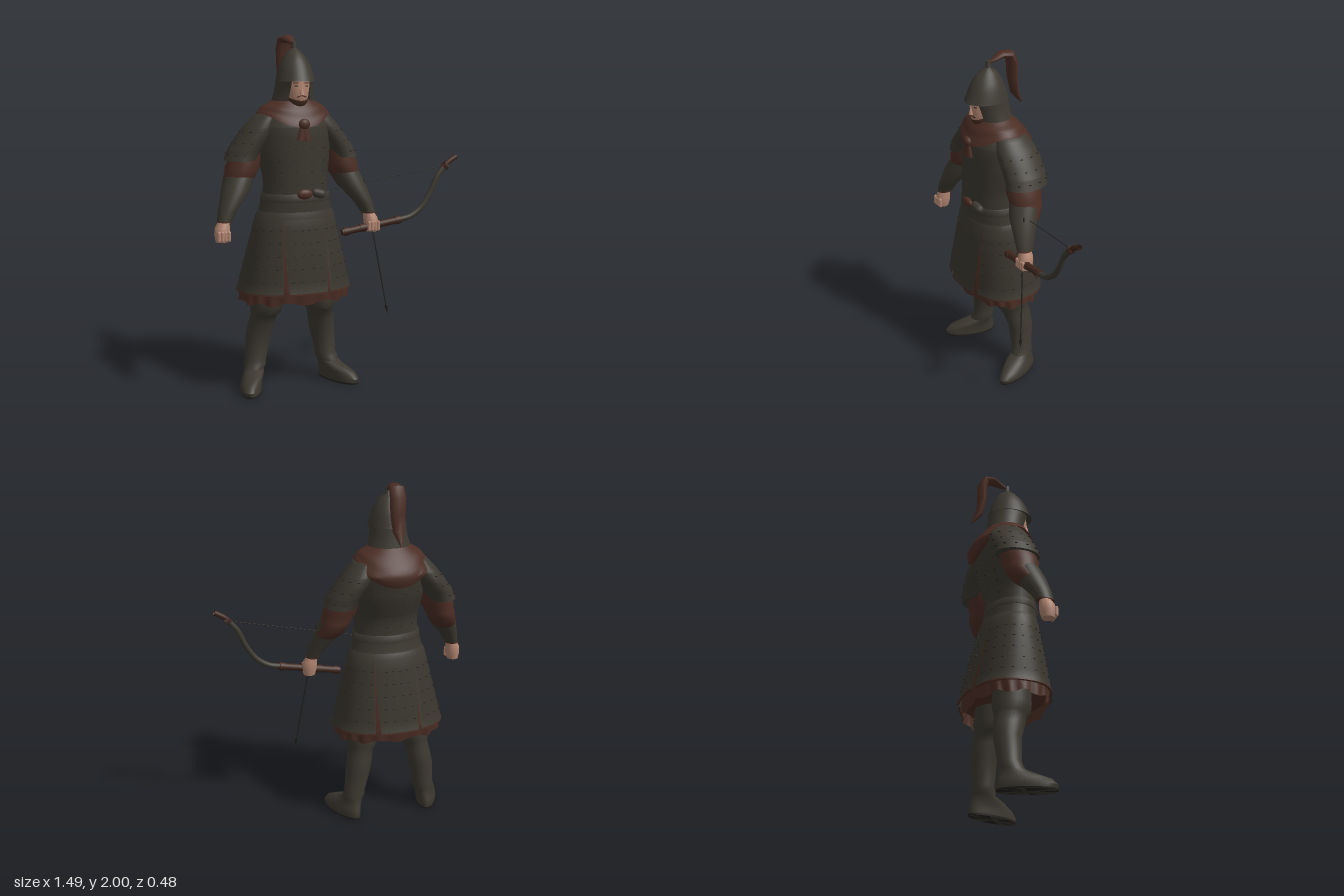
import * as THREE from 'three';
import { toCreasedNormals, mergeGeometries } from 'three/addons/utils/BufferGeometryUtils.js';

const CX = -0.255; // the figure stands left of centre, the bow reaches right
const V = (x, y, z) => new THREE.Vector3(x, y, z);
const mat = (name, color) => new THREE.MeshStandardMaterial({ name, color, side: THREE.DoubleSide });

// Cross-section tables: [y, offset from the body axis, centre z, half width, half depth, roundness], rising in y
const BODY = [
  [0.51, 0, 0, 0.318, 0.205, 0.85], [0.58, 0, 0, 0.318, 0.222, 0.85], [0.8, 0, 0.012, 0.268, 0.188, 0.92],
  [1.0, 0, 0.022, 0.222, 0.155, 1], [1.1, 0, 0.035, 0.195, 0.139, 1], [1.2, 0, 0.038, 0.184, 0.133, 1],
  [1.35, 0, 0.01, 0.21, 0.155, 1], [1.5, 0, -0.002, 0.208, 0.16, 1], [1.6, 0, 0, 0.15, 0.115, 1], [1.66, 0, 0, 0.07, 0.075, 1]];
const LEG = [
  [0, 0.252, 0.02, 0.06, 0.145], [0.03, 0.254, 0.02, 0.066, 0.151], [0.06, 0.25, 0.012, 0.063, 0.135],
  [0.09, 0.238, -0.015, 0.06, 0.1], [0.115, 0.23, -0.042, 0.058, 0.068], [0.14, 0.222, -0.048, 0.065, 0.067],
  [0.16, 0.218, -0.05, 0.06, 0.062], [0.3, 0.198, -0.055, 0.073, 0.075], [0.38, 0.182, -0.04, 0.074, 0.085],
  [0.43, 0.172, -0.026, 0.073, 0.09], [0.445, 0.166, -0.018, 0.084, 0.1], [0.5, 0.157, -0.016, 0.097, 0.107],
  [0.72, 0.14, 0, 0.09, 0.1]];
const SHOULDER = [
  [1.315, 0.304, -0.026, 0.086, 0.124], [1.35, 0.291, -0.028, 0.092, 0.127], [1.4, 0.256, -0.031, 0.09, 0.127],
  [1.48, 0.198, -0.03, 0.089, 0.124], [1.56, 0.15, -0.018, 0.066, 0.09], [1.585, 0.13, -0.01, 0.03, 0.04]];
const SLEEVE = [
  [1.12, 0.366, 0.035, 0.065, 0.07], [1.15, 0.35, 0.012, 0.076, 0.082], [1.2, 0.328, -0.01, 0.079, 0.09],
  [1.225, 0.317, -0.008, 0.087, 0.096], [1.245, 0.309, -0.006, 0.087, 0.096], [1.275, 0.297, -0.01, 0.097, 0.103],
  [1.36, 0.27, -0.02, 0.08, 0.1]];
const BRACER = [
  [0.99, 0.434, 0.076, 0.039, 0.048], [1.05, 0.41, 0.063, 0.051, 0.06], [1.15, 0.352, 0.03, 0.08, 0.083],
  [1.23, 0.318, -0.002, 0.083, 0.09]];
const HAND = [
  [0.882, 0.452, 0.085, 0.033, 0.036], [0.92, 0.45, 0.085, 0.043, 0.045], [0.96, 0.447, 0.081, 0.041, 0.042],
  [1.0, 0.434, 0.076, 0.028, 0.03]];
const HEAD = [
  [1.56, 0, 0.01, 0.06, 0.065], [1.61, 0, 0.045, 0.045, 0.07], [1.63, 0, 0.058, 0.054, 0.074],
  [1.67, 0, 0.055, 0.065, 0.083], [1.72, 0, 0.05, 0.073, 0.09], [1.8, 0, 0.045, 0.072, 0.09]];
const HELMET = [
  [1.745, 0, 0.04, 0.108, 0.13], [1.765, 0, 0.038, 0.103, 0.121], [1.81, 0, 0.035, 0.093, 0.107],
  [1.855, 0, 0.032, 0.074, 0.085], [1.9, 0, 0.028, 0.044, 0.052], [1.918, 0, 0.026, 0.021, 0.023],
  [1.925, 0, 0.025, 0.015, 0.015], [1.962, 0, 0.025, 0.013, 0.013]];
const NECK_GUARD = [[1.638, 0, 0.004, 0.122, 0.108], [1.69, 0, 0.015, 0.108, 0.109], [1.77, 0, 0.036, 0.1, 0.118]];

// Point on a tapering body: angle a runs from the front (+z) towards +x
const bend = (v, e) => Math.sign(v) * Math.abs(v) ** e;
function point(table, a, y, s = 1, side = 1) {
  let i = 0;
  while (i < table.length - 2 && y > table[i + 1][0]) i++;
  const k = (y - table[i][0]) / (table[i + 1][0] - table[i][0]);
  const [, dx, cz, rx, rz, e = 1] = table[i].map((v, j) => THREE.MathUtils.lerp(v, table[i + 1][j], k));
  return V(CX + side * dx + rx * s * bend(Math.sin(a), e), y, cz + rz * s * bend(Math.cos(a), e));
}

// Surface through rows of points, listed upward
function skin(rows, closed = true, caps = closed) {
  const pos = [], index = [], n = rows[0].length;
  rows.forEach(r => r.forEach(p => pos.push(p.x, p.y, p.z)));
  for (let i = 0; i < rows.length - 1; i++) for (let j = 0; j < (closed ? n : n - 1); j++) {
    const a = i * n + j, b = i * n + (j + 1) % n;
    index.push(a, b, b + n, a, b + n, a + n);
  }
  if (caps) [0, rows.length - 1].forEach((r, top) => {
    const c = rows[r].reduce((s, p) => s.add(p), V(0, 0, 0)).divideScalar(n), ci = pos.length / 3;
    pos.push(c.x, c.y, c.z);
    for (let j = 0; j < n; j++) {
      const a = r * n + j, b = r * n + (j + 1) % n;
      index.push(...(top ? [ci, a, b] : [ci, b, a]));
    }
  });
  const g = new THREE.BufferGeometry();
  g.setAttribute('position', new THREE.Float32BufferAttribute(pos, 3));
  g.setIndex(index);
  return toCreasedNormals(g, 0.75);
}

const arc = (n, a0, a1, f) => Array.from({ length: n + 1 }, (_, j) => f(a0 + (a1 - a0) * j / n));
const circle = (n, f) => arc(n, 0, 2 * Math.PI, f).slice(0, n);
// [y, scale] steps of overlapping armour rows
const lames = (y0, y1, n, flare) => Array.from({ length: n }, (_, i) => {
  const h = (y1 - y0) / n;
  return [[y0 + i * h, flare], [y0 + (i + 1) * h - 0.006, 1]];
}).flat();
const loft = (table, side = 1, steps = table.map(r => [r[0], 1])) =>
  skin(steps.map(([y, s]) => circle(32, a => point(table, a, y, s, side))));
// Boot rows, with the toes turned outward below the ankle
const bootLoft = (side, steps) => skin(steps.map(([y, s]) => circle(32, a => {
  const p = point(LEG, a, y, s, side);
  p.x += side * 0.3 * (p.z + 0.04) * Math.max(0, Math.min(1, (0.13 - y) / 0.06));
  return p;
})));

// Curved thick plate hanging on the body, with its own half angle at the bottom and top
function panel(mid, hb, ht, steps, s0, s1, y0 = 0.58, y1 = 1.0) {
  const row = (y, s) => {
    const k = (y - y0) / (y1 - y0), h = THREE.MathUtils.lerp(hb, ht, k), base = THREE.MathUtils.lerp(s0, s1, k);
    return arc(18, mid - h, mid + h, a => point(BODY, a, y, base * s));
  };
  return skin([row(y1, 0.97), row(y0, 0.97), ...steps.map(([y, s]) => row(y, s))], false);
}

// Small dark lacing slits lying on a surface
function lacing(f, angles, ys) {
  const slits = [], o = new THREE.Object3D();
  for (const y of ys) for (const a of angles) {
    const p = f(a, y), ahead = f(a + 0.02, y).sub(p);
    o.position.copy(p);
    o.lookAt(p.clone().add(V(-ahead.z, 0, ahead.x)));
    o.updateMatrix();
    slits.push(new THREE.BoxGeometry(0.014, 0.003, 0.008).applyMatrix4(o.matrix));
  }
  return mergeGeometries(slits);
}

export function createModel() {
  const root = new THREE.Group();
  root.name = 'archer';
  const armour = mat('dark armour', 0x3c3830), cloth = mat('red brown cloth', 0x4b2d24);
  const flesh = mat('skin', 0xb08470), dark = mat('black leather', 0x24211d);
  const wood = mat('brown leather grip', 0x40271e), hair = mat('beard', 0x452a20);
  const add = (name, geo, m, x = 0, y = 0, z = 0) => {
    const mesh = new THREE.Mesh(geo, m);
    mesh.name = name;
    mesh.position.set(x, y, z);
    root.add(mesh);
    return mesh;
  };
  const rod = (name, a, b, r, m, r2 = r) => {
    const d = b.clone().sub(a), mesh = add(name, new THREE.CylinderGeometry(r2, r, d.length(), 10), m);
    mesh.position.copy(a).addScaledVector(d, 0.5);
    mesh.quaternion.setFromUnitVectors(V(0, 1, 0), d.normalize());
  };

  // Torso, belt and pleated underskirt
  add('torsoArmour', loft(BODY, 1, [...lames(0.985, 1.5, 8, 1.01), [1.5, 1], [1.6, 1], [1.66, 1]]), armour);
  add('waistFlare', loft(BODY, 1, [[0.98, 1.035], [0.998, 1.05], [1.03, 1.01]]), armour);
  add('belt', loft(BODY, 1, [[1.085, 1.02], [1.09, 1.035], [1.125, 1.035], [1.13, 1.02]]), armour);
  add('beltBuckle', new THREE.SphereGeometry(0.038, 16, 10).scale(1.2, 0.75, 0.5), cloth, CX, 1.13, 0.178);
  add('beltKnot', new THREE.CapsuleGeometry(0.026, 0.035, 4, 12).rotateZ(1.3), armour, CX + 0.085, 1.13, 0.165);
  const pleat = (y, d) => circle(120, a => point(BODY, a, y - 0.4 * d * Math.cos(a * 10), 0.98 + d * Math.cos(a * 20)));
  add('underskirt', skin([pleat(0.59, 0.01), pleat(0.52, 0.025), pleat(0.6, 0.015), pleat(0.99, 0)]), cloth);

  // Hanging skirt plates with hems and lacing
  const rows = [0.65, 0.72, 0.79, 0.86, 0.93];
  [['front', 0, 0.275, 0.55, 1.075], ['back', Math.PI, 0.275, 0.55, 1.075],
    ['left', Math.PI / 2, 1.18, 1.0, 1.03], ['right', -Math.PI / 2, 1.18, 1.0, 1.03]].forEach(([n, c, hb, ht, s]) => {
    add(n + 'SkirtPlate', panel(c, hb, ht, lames(0.58, 1.0, 6, 1.01), s, 1.04), armour);
    add(n + 'SkirtHem', panel(c, hb, hb, [[0.576, 1.014], [0.585, 1.014]], s, s, 0.576, 0.585), cloth);
    const count = n === 'front' || n === 'back' ? 3 : 8;
    add(n + 'SkirtLacing', lacing((a, y) => point(BODY, a, y, s + (1.04 - s) * (y - 0.58) / 0.42 + 0.006),
      arc(count, c - hb * 0.85, c + hb * 0.85, a => a), rows), dark);
  });
  for (const c of [0, Math.PI])
    add('torsoLacing', lacing((a, y) => point(BODY, a, y, 1.005), arc(3, c - 0.7, c + 0.7, a => a), [1.18, 1.25, 1.31, 1.38]), dark);

  // Cowl: draped low and full at the back, spread over the shoulders, pointed at the front
  const cowlRow = t => circle(48, a => {
    const f = Math.cos(a), side = Math.sin(a) ** 2;
    const low = f > 0 ? 1.57 - 0.075 * f ** 3 : 1.57 - 0.14 * f * f;
    const y = THREE.MathUtils.lerp(low, 1.64, t);
    const drape = f < 0 ? 0.2 * f * f * Math.sin(Math.PI * (0.22 + 0.78 * t)) : 0.03 * f;
    return point(BODY, a, y, 1.08 + 0.16 * side + drape + 0.012 * Math.sin(t * 14));
  });
  const cowlEdge = cowlRow(0).map(p => V(CX + (p.x - CX) * 0.9, p.y + 0.01, p.z * 0.85));
  add('cowl', skin([cowlEdge, ...arc(10, 0, 1, cowlRow)], true, false), cloth);
  add('scarfKnot', new THREE.SphereGeometry(0.03, 14, 10).scale(1.1, 1, 0.7), cloth, CX, 1.515, 0.172);
  for (const s of [-1, 1]) {
    const tail = add('scarfTail', new THREE.CylinderGeometry(0.018, 0.024, 0.085, 8).scale(1, 1, 0.6), cloth, CX + s * 0.012, 1.465, 0.17);
    tail.rotation.z = s * 0.18;
  }

  // Arms and legs
  for (const s of [-1, 1]) {
    const n = s > 0 ? 'left' : 'right';
    add(n + 'ShoulderGuard', loft(SHOULDER, s, [...lames(1.315, 1.555, 4, 1.02), [1.56, 1], [1.585, 1]]), armour);
    add(n + 'ShoulderLacing', lacing((a, y) => point(SHOULDER, a, y, 1.008, s),
      arc(5, s * Math.PI / 2 - 1.3, s * Math.PI / 2 + 1.3, a => a), [1.35, 1.41, 1.47]), dark);
    add(n + 'Sleeve', loft(SLEEVE, s), cloth);
    add(n + 'Bracer', loft(BRACER, s), armour);
    add(n + 'WristTrim', loft(BRACER, s, [[0.99, 1.05], [0.997, 1.05]]), cloth);
    add(n + 'Hand', loft(HAND, s), flesh);
    for (let i = 0; i < 4; i++)
      add(n + 'Finger', new THREE.CapsuleGeometry(0.011, 0.04, 4, 8), flesh, CX + s * 0.45 + (i - 1.5) * 0.019, 0.915, 0.12);
    add(n + 'Boot', bootLoft(s, LEG.map(r => [r[0], 1])), armour);
    add(n + 'BootSole', bootLoft(s, [[0, 1.02], [0.01, 1.02]]), dark);
  }

  // Head
  add('head', loft(HEAD), flesh);
  add('nose', new THREE.ConeGeometry(0.014, 0.055, 8), flesh, CX, 1.7, 0.142);
  const beard = [[1.605, 1.04], [1.625, 1.07], [1.64, 1.05], [1.652, 1.02]];
  add('beard', skin(beard.map(([y, s]) => arc(20, -1.5, 1.5, a => point(HEAD, a, y - 0.012 + 0.03 * a * a / 2.2, s))), false), hair);
  for (const s of [-1, 1]) {
    const lip = add('moustache', new THREE.BoxGeometry(0.026, 0.005, 0.008), hair, CX + s * 0.015, 1.664, 0.137);
    lip.rotation.set(0, s * 0.25, -s * 0.35);
    const eye = add('eye', new THREE.BoxGeometry(0.018, 0.005, 0.006), dark, CX + s * 0.03, 1.72, 0.131);
    eye.rotation.y = s * 0.35;
    const brow = add('brow', new THREE.BoxGeometry(0.03, 0.005, 0.008), hair, CX + s * 0.031, 1.736, 0.13);
    brow.rotation.y = s * 0.35;
  }

  // Helmet, neck guard and plume
  add('helmet', loft(HELMET), armour);
  add('neckGuard', skin(arc(6, 1.638, 1.77, y => arc(32, 0.55, 2 * Math.PI - 0.55, a => point(NECK_GUARD, a, y))), false), armour);
  const plume = [[0.015, 1.95, 0.01, 0.008], [-0.02, 1.962, 0.022, 0.014], [-0.065, 1.98, 0.036, 0.019],
    [-0.112, 1.972, 0.045, 0.026], [-0.132, 1.925, 0.048, 0.028], [-0.134, 1.83, 0.044, 0.024],
    [-0.15, 1.74, 0.034, 0.022], [-0.195, 1.668, 0.004, 0.004]];
  add('plume', skin(plume.map(([z, y, w, h], i) => {
    const p = plume[Math.max(i - 1, 0)], q = plume[Math.min(i + 1, plume.length - 1)];
    const t = V(0, q[1] - p[1], q[0] - p[0]).normalize(), nrm = V(1, 0, 0).cross(t);
    return circle(12, a => V(CX + w * Math.sin(a), y, z).addScaledVector(nrm, h * Math.cos(a)));
  })), cloth);

  // Bow with grip, curved limb, tip and string
  const tube = (name, pts, r, m) => add(name, new THREE.TubeGeometry(
    new THREE.CatmullRomCurve3(pts.map(p => V(...p))), 28, r, 10), m);
  const gripA = V(0.01, 0.885, 0.085), gripB = V(0.375, 0.942, 0.11);
  rod('bowGrip', gripA, gripB, 0.02, wood);
  for (const k of [0.03, 0.3, 0.55, 0.9])
    rod('gripBinding', gripA.clone().lerp(gripB, k), gripA.clone().lerp(gripB, k + 0.08), 0.024, wood);
  tube('bowLimb', [[0.36, 0.94, 0.11], [0.43, 0.955, 0.113], [0.5, 1.0, 0.116], [0.56, 1.085, 0.119],
    [0.605, 1.18, 0.121], [0.65, 1.235, 0.122]], 0.016, armour);
  tube('bowTip', [[0.64, 1.228, 0.122], [0.68, 1.265, 0.123], [0.732, 1.295, 0.124]], 0.015, wood);
  rod('bowTipNock', V(0.645, 1.25, 0.122), V(0.672, 1.235, 0.122), 0.02, wood);
  rod('bowString', V(0.665, 1.243, 0.118), V(-0.065, 1.12, 0), 0.002, dark);

  // Arrow held in the bow hand
  rod('arrowShaft', V(0.155, 1.18, 0.068), V(0.26, 0.44, 0.16), 0.004, dark);
  rod('arrowHead', V(0.259, 0.45, 0.159), V(0.265, 0.405, 0.165), 0.011, dark, 0.001);
  return root;
}
